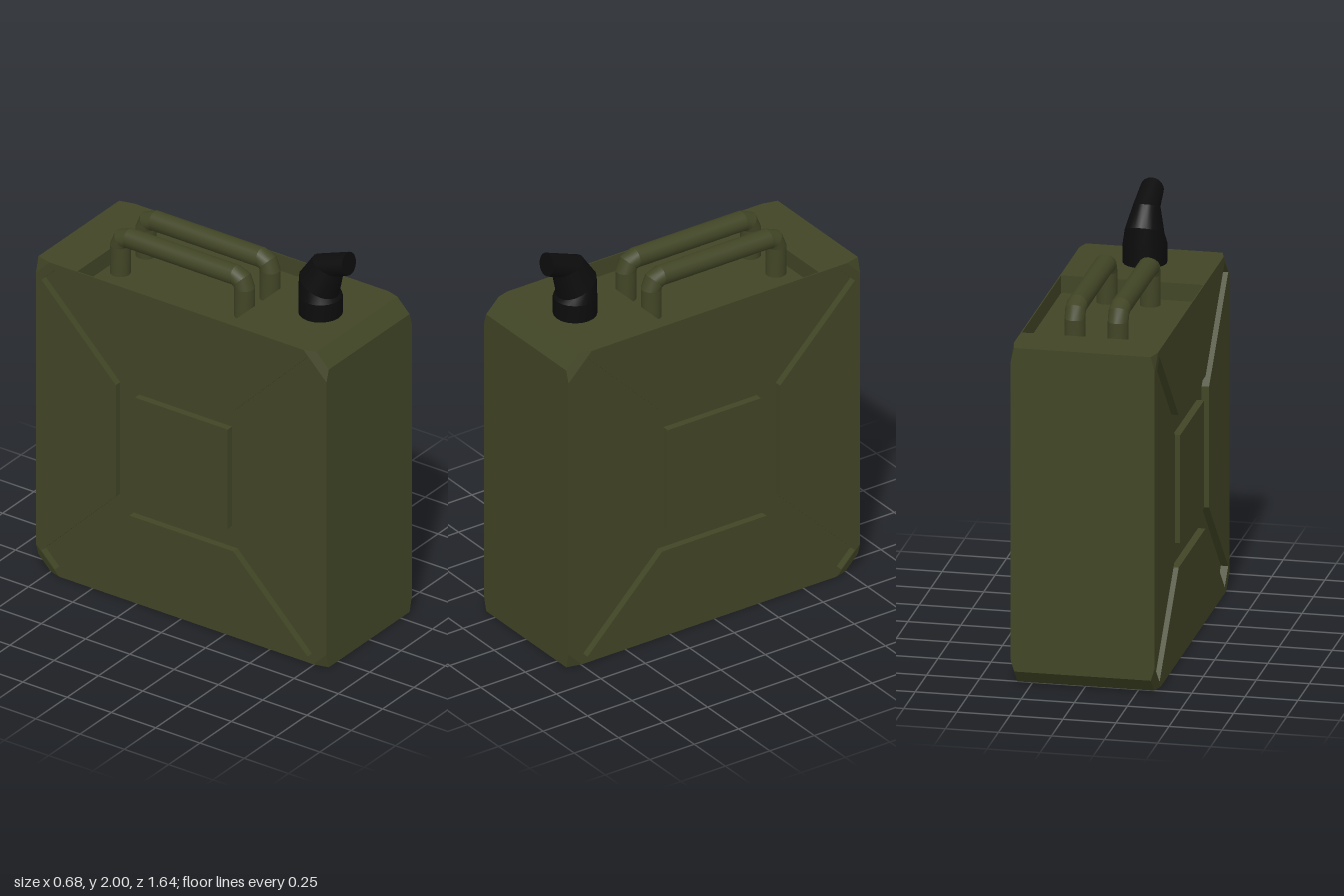
import * as THREE from 'three';
import { ConvexGeometry } from 'three/addons/geometries/ConvexGeometry.js';

const W = 0.34, L = 0.82, H = 1.64;        // half width, half length, height
const GROOVE = 0.305, RIM = 0.335;         // groove floor and handle well wall (x)
const BIG = 0.13, SMALL = 0.075;           // corner cuts

const olive = new THREE.MeshStandardMaterial({ color: 0x414525 });
olive.name = 'olive paint';
const black = new THREE.MeshStandardMaterial({ color: 0x0c0c0c });
black.name = 'black rubber';

function add(parent, name, geometry, material) {
  const mesh = new THREE.Mesh(geometry, material);
  mesh.name = name;
  parent.add(mesh);
  return mesh;
}

const toPoints = (list) => list.map(([u, y]) => new THREE.Vector2(u, y));

// Side outline (u = -z), with an optional notch for the handle well
function sideShape(notch) {
  const well = notch ? [[0.59, H], [0.59, 1.555], [-0.267, 1.555], [-0.267, H]] : [];
  return new THREE.Shape(toPoints([
    [-L + SMALL, 0], [L - BIG, 0], [L, BIG], [L, H - SMALL], [L - SMALL, H],
    ...well, [-L + BIG, H], [-L, H - BIG], [-L, SMALL],
  ]));
}

// Cross-shaped groove, one arm turned four times
function grooveHole() {
  const arm = [[0.37, 0.293], [0.79, 0.713], [0.713, 0.79], [0.293, 0.37]];
  const pts = [];
  for (let k = 0; k < 4; k++) {
    const c = [1, 0, -1, 0][k], s = [0, 1, 0, -1][k];
    for (const [u, v] of arm) pts.push([u * c - v * s, u * s + v * c + H / 2]);
  }
  return new THREE.Path(toPoints(pts));
}

// Extrudes a side shape from x0 to x1
function slab(shape, x0, x1) {
  const g = new THREE.ExtrudeGeometry(shape, { depth: x1 - x0, bevelEnabled: false });
  return g.translate(0, 0, x0).rotateY(Math.PI / 2);
}

// Sweeps rings given as [outer z, outer y, inner z, inner y, x radius]; creased between rings
function sweep(sections, n = 16) {
  const pos = [], idx = [];
  const ring = ([z1, y1, z2, y2, rx]) => {
    const start = pos.length / 3;
    for (let j = 0; j < n; j++) {
      const a = (j / n) * Math.PI * 2, c = Math.cos(a) / 2;
      pos.push(Math.sin(a) * rx, (y1 + y2) / 2 + c * (y1 - y2), (z1 + z2) / 2 + c * (z1 - z2));
    }
    return start;
  };
  for (let i = 0; i + 1 < sections.length; i++) {
    const a = ring(sections[i]), b = ring(sections[i + 1]);
    for (let j = 0; j < n; j++) {
      const k = (j + 1) % n;
      idx.push(a + j, a + k, b + k, a + j, b + k, b + j);
    }
  }
  const end = ring(sections[sections.length - 1]);
  for (let j = 1; j + 1 < n; j++) idx.push(end, end + j, end + j + 1);
  const g = new THREE.BufferGeometry();
  g.setAttribute('position', new THREE.Float32BufferAttribute(pos, 3));
  g.setIndex(idx);
  g.computeVertexNormals();
  return g;
}

export function createModel() {
  const model = new THREE.Group();
  model.name = 'fuelCan';

  // Body core with the handle well cut into its top
  const body = new THREE.Group();
  body.name = 'body';
  model.add(body);
  add(body, 'core', slab(sideShape(true), -GROOVE, GROOVE), olive);

  // Pressed side panels around the cross groove, with a raised centre square
  const s = 0.262, m = H / 2;
  const square = new THREE.Shape(toPoints([[-s, m - s], [s, m - s], [s, m + s], [-s, m + s]]));
  const inner = sideShape(true), skin = sideShape(false);
  inner.holes.push(grooveHole());
  skin.holes.push(grooveHole());
  for (const [side, sign] of [['left', 1], ['right', -1]]) {
    const layer = (name, shape, a, b) =>
      add(body, side + name, slab(shape, Math.min(a * sign, b * sign), Math.max(a * sign, b * sign)), olive);
    layer('Panel', inner, GROOVE, RIM);
    layer('PanelSkin', skin, RIM, W);
    layer('CentreSquare', square, GROOVE, W);
  }

  // Corner blocks narrowing toward the can's corners; two of them chamfered
  const corner = (name, z, y, cut, chamfer) => {
    const dz = -Math.sign(z), dy = y > 0 ? -1 : 1, pts = [];
    for (const sx of [-1, 1]) {
      for (const [x, d] of [[W, cut], [0.322, chamfer]]) {
        pts.push(new THREE.Vector3(sx * x, y, z + dz * d));
        if (d > 0) pts.push(new THREE.Vector3(sx * x, y + dy * d, z));
      }
    }
    add(body, name, new ConvexGeometry(pts), olive);
  };
  corner('frontTopCorner', L, H, BIG, 0.07);
  corner('backBottomCorner', -L, 0, BIG, 0.07);
  corner('frontBottomCorner', L, 0, SMALL, 0);
  corner('backTopCorner', -L, H, SMALL, 0);

  // Two carrying handles
  const t = 0.098, r = 0.049, zf = 0.139, zb = -0.464, yi = 1.702;
  const bends = [];
  for (const z of [zf, zb]) {
    for (let k = 0; k < 3; k++) {
      const a = (k + (z === zb ? 2 : 0)) * Math.PI / 4;
      bends.push([z + t * Math.cos(a), yi + t * Math.sin(a), z, yi, r]);
    }
  }
  const handlePath = [[zf + t, 1.55, zf, 1.55, r], ...bends, [zb - t, 1.55, zb, 1.55, r]];
  for (const [side, x] of [['left', 0.102], ['right', -0.102]]) {
    add(model, side + 'Handle', sweep(handlePath), olive).position.x = x;
  }

  // Bent pouring spout
  add(model, 'spout', sweep([
    [0.648, 1.63, 0.443, 1.63, 0.104],
    [0.648, 1.73, 0.443, 1.73, 0.104],
    [0.635, 1.745, 0.443, 1.835, 0.092],
    [0.665, 1.87, 0.51, 1.93, 0.062],
    [0.715, 1.89, 0.695, 2.0, 0.055],
  ], 20), black);

  return model;
}
